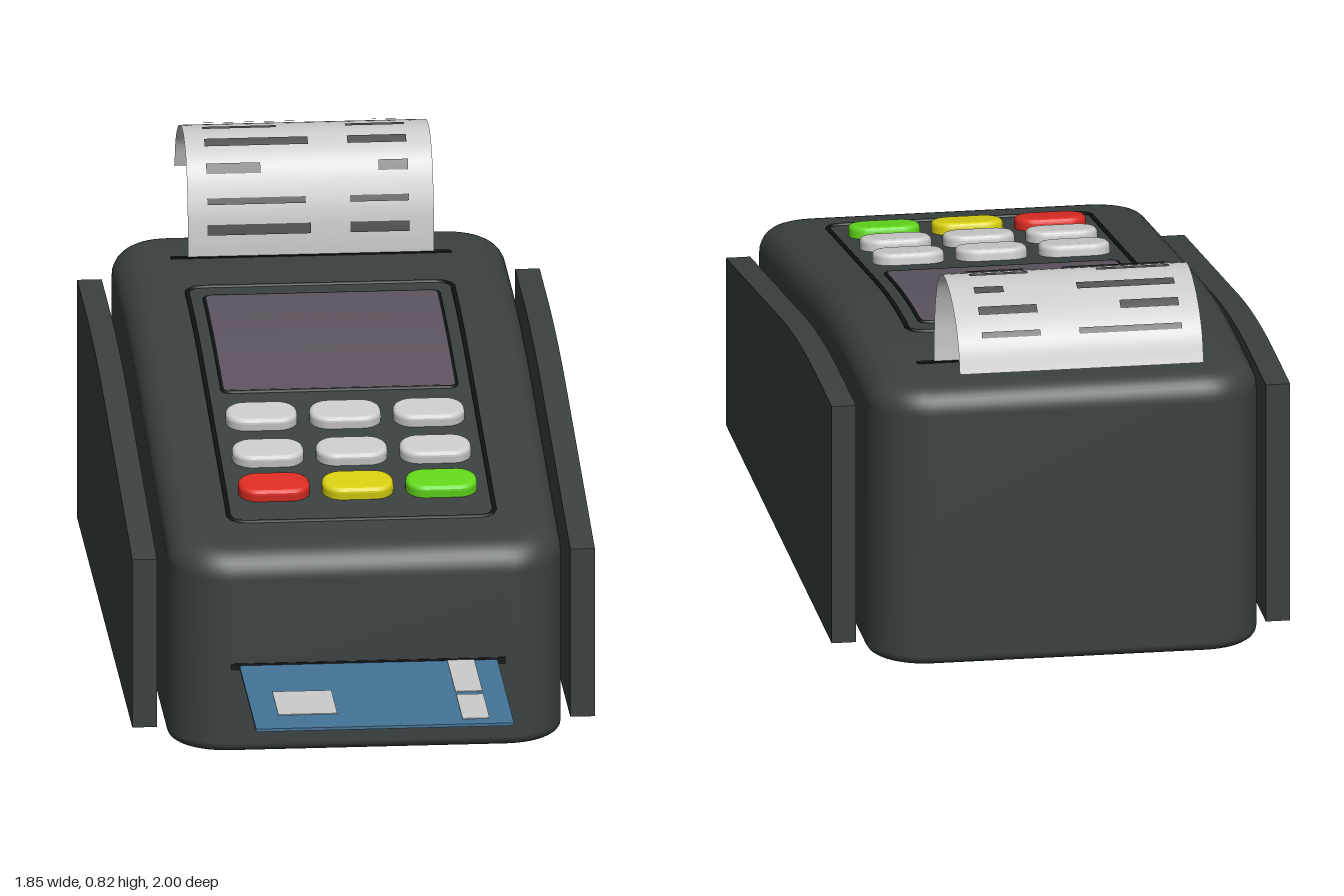
import * as THREE from 'three';

const mat = (color, extra = {}) => new THREE.MeshStandardMaterial({ color, ...extra });
const casing = mat(0x3a4040);
const dark = mat(0x111414);
const grey = mat(0xcccccc);
const BACK = -0.955, FRONT = 0.675, HALF = 0.4, SLOPE = 0.157;

// Height of the casing's top: flat at the back, easing into a slope to the front
function topY(z) {
  if (z > -0.15) return 0.42 + SLOPE * (FRONT - z);
  return 0.588 - (z > -0.64 ? SLOPE * (z + 0.64) ** 2 / 0.98 : 0);
}

function add(parent, name, geometry, material) {
  const mesh = new THREE.Mesh(geometry, material);
  mesh.name = name;
  parent.add(mesh);
  return mesh;
}

function roundRect(w, d, r) {
  const x = w / 2, y = d / 2, s = new THREE.Shape();
  s.absarc(x - r, y - r, r, 0, Math.PI / 2);
  s.absarc(r - x, y - r, r, Math.PI / 2, Math.PI);
  s.absarc(r - x, r - y, r, Math.PI, Math.PI * 1.5);
  s.absarc(x - r, r - y, r, Math.PI * 1.5, Math.PI * 2);
  s.closePath();
  return s;
}

// Casing: stacked rounded-rectangle rings, closed by strips running across
function bodyGeometry() {
  const rings = [], R = 0.055, b = 0.02;
  for (let i = 0; i <= 4; i++) {
    const a = (i / 4) * Math.PI / 2;
    rings.push([b * (1 - Math.sin(a)), () => b * (1 - Math.cos(a))]);
  }
  for (let i = 0; i <= 8; i++) {
    const a = (i / 8) * Math.PI / 2;
    rings.push([R * (1 - Math.cos(a)), z => topY(z) - R * (1 - Math.sin(a))]);
  }
  const pos = [], idx = [];
  let n = 0;
  for (const [inset, y] of rings) {
    const r = 0.12 - inset, half = [];
    const cx = HALF - 0.12, zf = FRONT - 0.12, zb = BACK + 0.12;
    for (let i = 0; i <= 10; i++) {
      const a = (i / 10) * Math.PI / 2;
      half.push([cx + r * Math.sin(a), zf + r * Math.cos(a)]);
    }
    for (let i = 1; i < 30; i++) half.push([cx + r, zf + (zb - zf) * i / 30]);
    for (let i = 0; i <= 10; i++) {
      const a = (i / 10) * Math.PI / 2;
      half.push([cx + r * Math.cos(a), zb - r * Math.sin(a)]);
    }
    n = half.length;
    const mirrored = half.map(([x, z]) => [-x, z]).reverse();
    for (const [x, z] of [...half, ...mirrored]) pos.push(x, y(z), z);
  }
  const m = 2 * n, last = (rings.length - 1) * m;
  for (let k = 0; k < rings.length - 1; k++) {
    for (let i = 0; i < m; i++) {
      const a = k * m + i, c = k * m + (i + 1) % m;
      idx.push(a, c, c + m, a, c + m, a + m);
    }
  }
  for (let i = 0; i < n - 1; i++) {
    const j = i + 1, mi = m - 1 - i, mj = m - 1 - j;
    idx.push(last + i, last + j, last + mj, last + i, last + mj, last + mi);
    idx.push(i, mj, j, i, mi, mj);
  }
  const g = new THREE.BufferGeometry();
  g.setAttribute('position', new THREE.Float32BufferAttribute(pos, 3));
  g.setIndex(idx);
  g.computeVertexNormals();
  return g;
}

// Thin line following a rounded rectangle laid on the casing's top
function grooveGeometry(w, z0, z1, r, radius) {
  const pts = roundRect(w, z1 - z0, r).getSpacedPoints(120).slice(0, -1).map(p => {
    const z = (z0 + z1) / 2 + p.y;
    return new THREE.Vector3(p.x, topY(z), z);
  });
  return new THREE.TubeGeometry(new THREE.CatmullRomCurve3(pts, true), 200, radius, 6, true);
}

// Side plate: profile follows the casing's top, a little lower
function plateGeometry() {
  const z0 = -0.84, z1 = 0.555, s = new THREE.Shape();
  s.moveTo(-z0, 0.02);
  for (let i = 0; i <= 24; i++) {
    const z = z0 + (z1 - z0) * i / 24;
    s.lineTo(-z, topY(z) - 0.062);
  }
  s.lineTo(-z1, 0.02);
  s.closePath();
  return new THREE.ExtrudeGeometry(s, { depth: 0.05, bevelEnabled: false }).rotateY(Math.PI / 2);
}

// Curling paper path in the z-y plane
const paperPath = new THREE.CatmullRomCurve3([
  [-0.775, 0.55], [-0.775, 0.63], [-0.785, 0.7], [-0.82, 0.775], [-0.875, 0.81],
  [-0.94, 0.814], [-1.03, 0.785], [-1.09, 0.735], [-1.115, 0.675],
].map(([z, y]) => new THREE.Vector3(0, y, z)));

// Patch of paper between two x values and two fractions of the path
function paperPatch(x0, x1, t0, t1, offset, segments) {
  const g = new THREE.PlaneGeometry(1, 1, 1, segments), p = g.attributes.position;
  for (let i = 0; i < p.count; i++) {
    const t = t0 + (t1 - t0) * (p.getY(i) + 0.5);
    const c = paperPath.getPointAt(t), d = paperPath.getTangentAt(t);
    p.setXYZ(i, p.getX(i) < 0 ? x0 : x1, c.y - d.z * offset, c.z + d.y * offset);
  }
  g.computeVertexNormals();
  return g;
}

export function createModel() {
  const model = new THREE.Group();
  model.name = 'paymentTerminal';
  model.rotation.y = THREE.MathUtils.degToRad(41.3);

  add(model, 'body', bodyGeometry(), casing);
  for (const [name, x] of [['leftSidePlate', 0.42], ['rightSidePlate', -0.47]])
    add(model, name, plateGeometry(), casing).position.x = x;

  // Screen and the grooves around it and the whole panel
  const screen = new THREE.PlaneGeometry(0.47, 0.467, 1, 16).rotateX(-Math.PI / 2);
  const sp = screen.attributes.position;
  for (let i = 0; i < sp.count; i++) {
    const z = sp.getZ(i) - 0.283;
    sp.setXYZ(i, sp.getX(i), topY(z) + 0.004, z);
  }
  screen.computeVertexNormals();
  add(model, 'screen', screen, mat(0x5c535e));
  add(model, 'screenFrame', grooveGeometry(0.474, -0.519, -0.047, 0.01, 0.005), dark);
  add(model, 'panelGroove', grooveGeometry(0.54, -0.58, 0.53, 0.03, 0.005), dark);

  // Keypad
  const keypad = new THREE.Group();
  keypad.name = 'keypad';
  model.add(keypad);
  const keyGeometry = new THREE.ExtrudeGeometry(roundRect(0.125, 0.07, 0.03), {
    depth: 0.014, bevelThickness: 0.01, bevelSize: 0.01, bevelSegments: 4, curveSegments: 8,
  }).rotateX(-Math.PI / 2);
  const bottomRow = [mat(0xdd2c22), mat(0xd8d010), mat(0x62d81c)];
  [0.081, 0.245, 0.397].forEach((z, row) => {
    for (let col = 0; col < 3; col++) {
      const key = add(keypad, 'key', keyGeometry, row === 2 ? bottomRow[col] : grey);
      key.position.set((col - 1) * 0.17, topY(z), z);
      key.rotation.x = Math.atan(SLOPE);
    }
  });

  // Receipt with printed bars on both sides
  const receipt = new THREE.Group();
  receipt.name = 'receipt';
  model.add(receipt);
  const paper = mat(0xcccccc, { side: THREE.DoubleSide });
  const ink = mat(0x505050, { side: THREE.DoubleSide });
  add(receipt, 'paper', paperPatch(-0.25, 0.25, 0, 1, 0, 48), paper);
  const lengths = [0.21, 0.2, 0.11, 0.21, 0.15, 0.2, 0.12, 0.21];
  lengths.forEach((len, i) => {
    const t = 0.14 + i * 0.103, h = i % 3 === 1 ? 0.022 : 0.036;
    for (const side of [-0.003, 0.003]) {
      add(receipt, 'printedLine', paperPatch(-0.21, -0.21 + len, t, t + h, side, 3), ink);
      add(receipt, 'printedAmount', paperPatch(i % 3 === 2 ? 0.14 : 0.08, 0.2, t, t + h, side, 3), ink);
    }
  });
  add(model, 'paperSlot', new THREE.BoxGeometry(0.57, 0.01, 0.014), dark).position.set(0, 0.585, -0.775);

  // Bank card in its slot
  const card = new THREE.Group();
  card.name = 'card';
  card.position.y = 0.182;
  model.add(card);
  const slab = (name, x0, x1, z0, z1, y, h, material) =>
    add(card, name, new THREE.BoxGeometry(x1 - x0, h, z1 - z0), material)
      .position.set((x0 + x1) / 2, y, (z0 + z1) / 2);
  slab('cardSheet', -0.262, 0.262, 0.5, 1.098, 0, 0.006, mat(0x447499));
  slab('cardChip', -0.21, -0.09, 0.857, 1.01, 0.003, 0.003, grey);
  slab('cardStripe', 0.16, 0.215, 0.6, 0.885, 0.003, 0.003, grey);
  slab('cardStripe', 0.16, 0.215, 0.905, 1.065, 0.003, 0.003, grey);
  slab('cardSlot', -0.28, 0.28, 0.65, 0.677, 0, 0.014, dark);
  return model;
}
